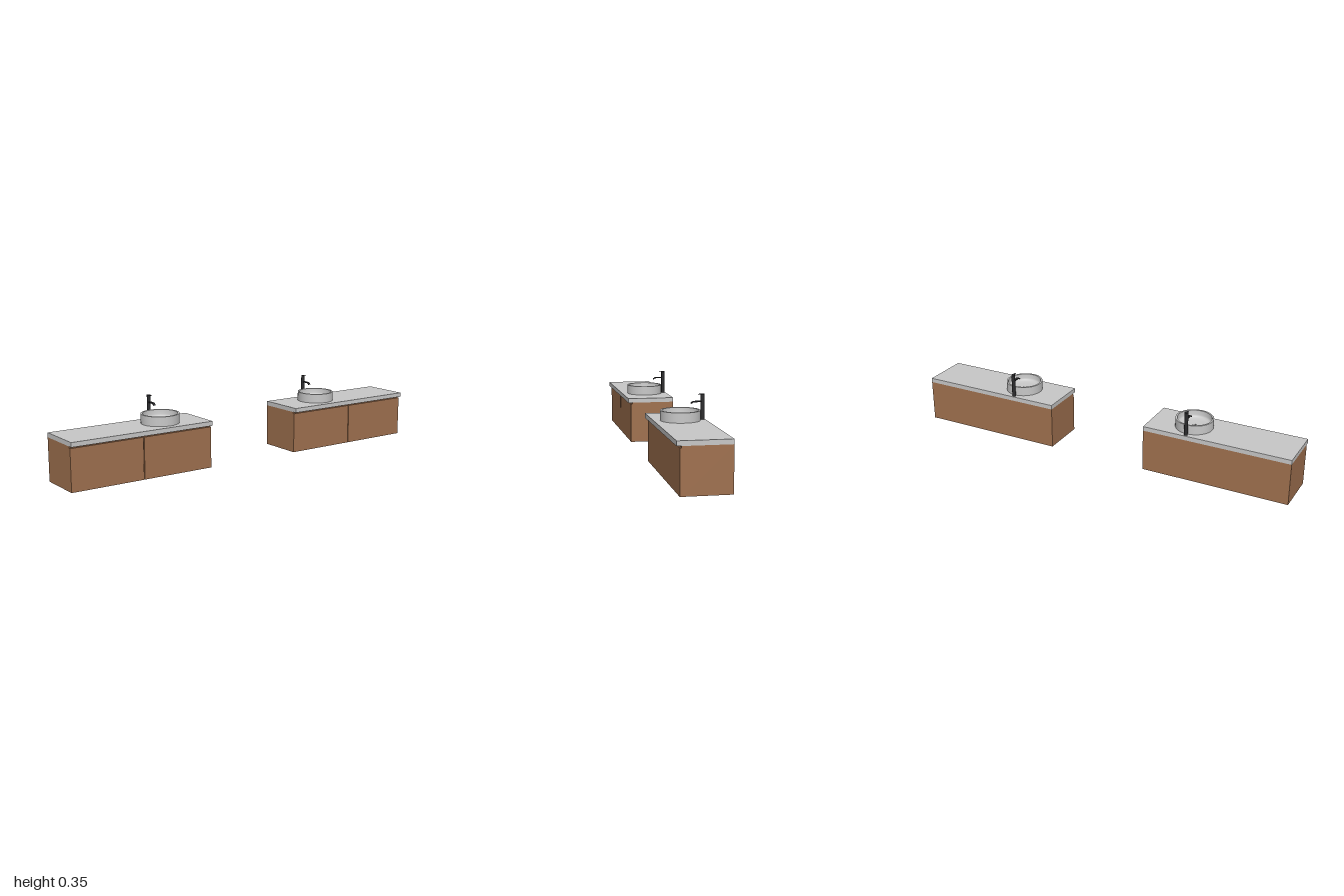
import * as THREE from 'three';

const material = (name, color, side = THREE.FrontSide) => {
  const m = new THREE.MeshStandardMaterial({ color, side });
  m.name = name;
  return m;
};

export function createModel() {
  const wood = material('wood', 0xa0714f);
  const stone = material('greyStone', 0xc8c8c8);
  const black = material('matteBlack', 0x2a2a2c);
  const chrome = material('drainMetal', 0xa8a8a8);

  const add = (parent, name, geometry, mat, x = 0, y = 0, z = 0) => {
    const mesh = new THREE.Mesh(geometry, mat);
    mesh.name = name;
    mesh.position.set(x, y, z);
    parent.add(mesh);
    return mesh;
  };
  // Box given by its limits on each axis
  const box = (parent, name, mat, [x0, x1], [y0, y1], [z0, z1]) =>
    add(parent, name, new THREE.BoxGeometry(x1 - x0, y1 - y0, z1 - z0), mat,
      (x0 + x1) / 2, (y0 + y1) / 2, (z0 + z1) / 2);

  // Round vessel basin: sharp corners are split into separate lathe strips
  function makeBasin() {
    const basin = new THREE.Group();
    basin.name = 'basin';
    const strips = {
      basinOuterWall: [[0.0925, 0], [0.0925, 0.046]],
      basinRim: [[0.0925, 0.046], [0.0915, 0.047], [0.085, 0.047], [0.084, 0.046]],
      basinBowl: [[0.084, 0.046], [0.083, 0.024], [0.079, 0.016], [0.07, 0.011], [0.05, 0.008], [0, 0.006]],
    };
    for (const [name, points] of Object.entries(strips)) {
      const profile = points.map(([r, y]) => new THREE.Vector2(r, y));
      add(basin, name, new THREE.LatheGeometry(profile, 64), stone);
    }
    // Drain ring and plug
    const ring = add(basin, 'drainRing', new THREE.TorusGeometry(0.0075, 0.0012, 8, 32), chrome, 0, 0.0075, 0);
    ring.rotation.x = Math.PI / 2;
    add(basin, 'drainPlug', new THREE.CylinderGeometry(0.005, 0.005, 0.003, 24), chrome, 0, 0.0075, 0);
    return basin;
  }

  // Tall tap: column, flat lever and a spout that bends down at the tip
  function makeTap() {
    const tap = new THREE.Group();
    tap.name = 'tap';
    add(tap, 'tapColumn', new THREE.CylinderGeometry(0.009, 0.009, 0.115, 32), black, 0, 0.0575, 0);
    add(tap, 'tapCap', new THREE.CylinderGeometry(0.009, 0.009, 0.002, 32), black, 0, 0.117, 0);
    box(tap, 'tapLever', black, [-0.004, 0.004], [0.116, 0.118], [0, 0.021]);

    // Spout outline in the side plane, extruded across its width
    const s = new THREE.Shape();
    s.moveTo(0.004, 0.0805);
    s.lineTo(0.035, 0.0805);
    s.quadraticCurveTo(0.046, 0.081, 0.052, 0.073);
    s.lineTo(0.056, 0.0755);
    s.quadraticCurveTo(0.048, 0.086, 0.036, 0.086);
    s.lineTo(0.004, 0.086);
    const spout = new THREE.ExtrudeGeometry(s, { depth: 0.012, bevelEnabled: false, curveSegments: 10 });
    spout.translate(0, 0, -0.006).rotateY(-Math.PI / 2);
    add(tap, 'tapSpout', spout, black);
    return tap;
  }

  function makeVanity(name, centre, basinX) {
    const g = new THREE.Group();
    g.name = name;
    const half = 0.372;
    const gap = 0.002;
    const back = -0.12;
    box(g, 'cabinetBody', wood, [-half, half], [0, 0.21], [back, 0.1]);
    for (const [label, a, b] of [['rightDrawerFront', -half, -gap], ['leftDrawerFront', gap, half]]) {
      box(g, label, wood, [a, b], [0, 0.202], [0.1, 0.107]);
    }
    box(g, 'countertop', stone, [-half, half], [0.21, 0.232], [back, 0.121]);

    const basin = makeBasin();
    basin.position.set(basinX - centre, 0.232, -0.002);
    const tap = makeTap();
    tap.position.set(basinX - centre, 0.232, -0.106);
    g.add(basin, tap);
    g.position.x = centre;
    return g;
  }

  const model = new THREE.Group();
  model.name = 'vanityPair';
  model.add(makeVanity('rightVanity', -0.628, -0.474), makeVanity('leftVanity', 0.628, 0.487));
  return model;
}
